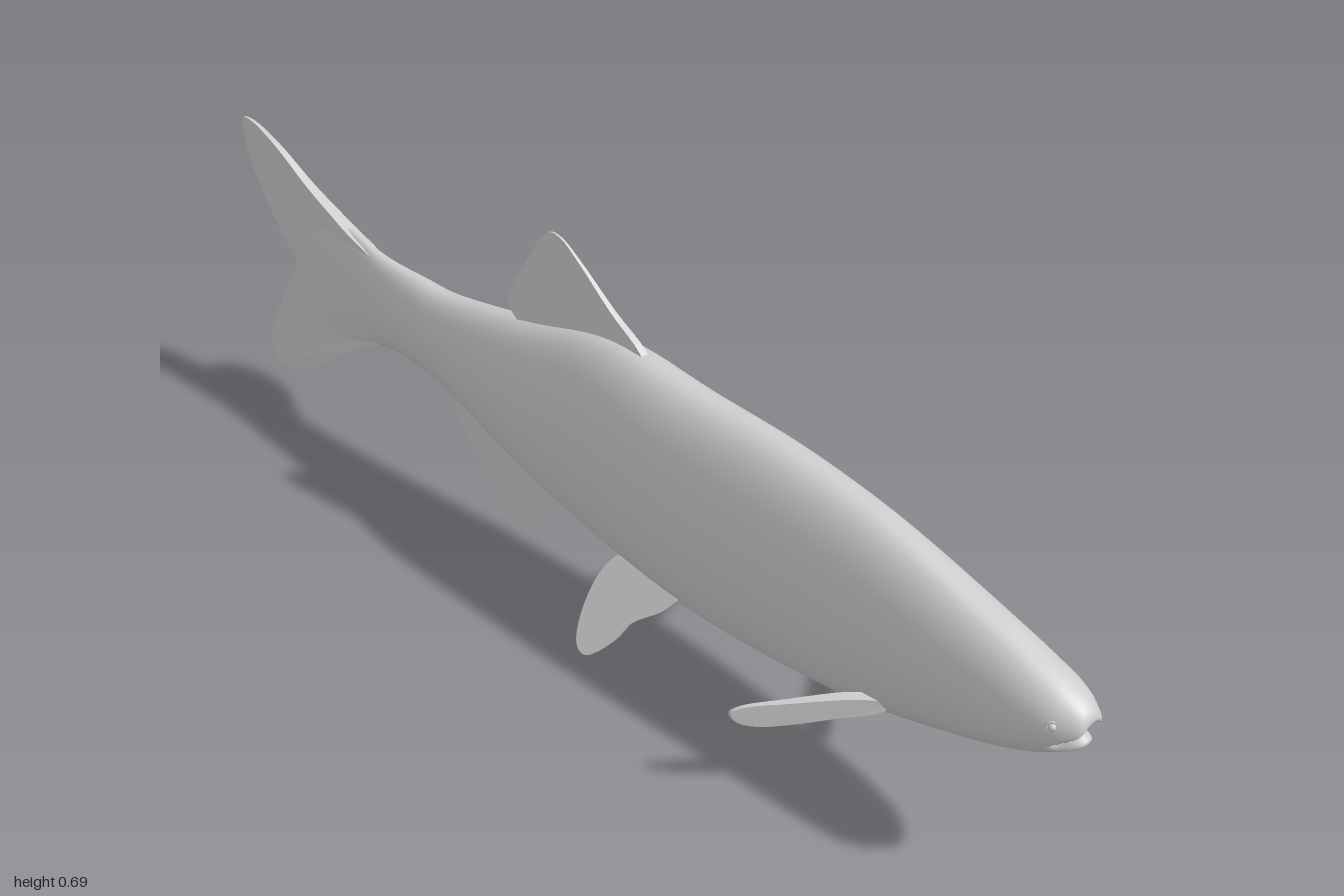
import * as THREE from 'three';

const material = new THREE.MeshStandardMaterial({ color: 0xcccccc, side: THREE.DoubleSide });

// Body stations from nose to tail root: z, bottom y, top y, half width, sideways shift
const STATIONS = [
  [1, 0.347, 0.349, 0.001, -0.012],
  [0.998, 0.33, 0.37, 0.022, -0.012],
  [0.985, 0.312, 0.388, 0.034, -0.012],
  [0.95, 0.288, 0.407, 0.051, -0.011],
  [0.9, 0.258, 0.425, 0.06, -0.01],
  [0.8, 0.213, 0.455, 0.067, -0.007],
  [0.6, 0.15, 0.508, 0.076, -0.004],
  [0.4, 0.12, 0.535, 0.083, -0.002],
  [0.2, 0.113, 0.543, 0.084, -0.002],
  [0, 0.138, 0.553, 0.077, -0.002],
  [-0.2, 0.182, 0.497, 0.062, -0.002],
  [-0.4, 0.245, 0.452, 0.045, -0.001],
  [-0.5, 0.26, 0.446, 0.038, 0],
  [-0.6, 0.252, 0.447, 0.029, 0],
  [-0.7, 0.208, 0.466, 0.019, 0],
  [-0.78, 0.2, 0.46, 0.012, 0],
  [-0.86, 0.3, 0.35, 0.003, 0],
];

function mesh(name, geometry) {
  const m = new THREE.Mesh(geometry, material);
  m.name = name;
  return m;
}

// Smooth loft of oval rings, with an arched mouth groove pressed into the nose
function bodyGeometry() {
  const curve = (f) => new THREE.CatmullRomCurve3(STATIONS.map(f), false, 'catmullrom');
  const profile = curve((s) => new THREE.Vector3(s[0], s[1], s[2]));
  const widths = curve((s) => new THREE.Vector3(s[0], s[3], s[4]));
  const rings = (STATIONS.length - 1) * 6, sides = 48;
  const positions = [], index = [];
  for (let i = 0; i <= rings; i++) {
    const p = profile.getPoint(i / rings), w = widths.getPoint(i / rings);
    for (let j = 0; j < sides; j++) {
      const a = (j / sides) * Math.PI * 2, c = Math.cos(a);
      const x = Math.sign(c) * Math.pow(Math.abs(c), 0.92) * w.y;
      const y = (p.y + p.z) / 2 + (Math.sin(a) * (p.z - p.y)) / 2;
      const d = (y - (0.347 - 22 * x * x)) / 0.011;
      const groove = 0.045 * Math.exp(-d * d) * THREE.MathUtils.smoothstep(p.x, 0.95, 0.99);
      positions.push(x + w.z, y, p.x - groove);
      if (i < rings) {
        const k = (j + 1) % sides, r = i * sides;
        index.push(r + j, r + sides + j, r + k, r + k, r + sides + j, r + sides + k);
      }
    }
  }
  const g = new THREE.BufferGeometry();
  g.setAttribute('position', new THREE.Float32BufferAttribute(positions, 3));
  g.setIndex(index);
  g.computeVertexNormals();
  return g;
}

// Thin slab from a rounded outline; place(u, v, s) puts each point in space, s = -1 or 1 by face
function finGeometry(outline, place) {
  const curve = new THREE.CatmullRomCurve3(
    outline.map(([u, v]) => new THREE.Vector3(u, v, 0)), true, 'centripetal');
  const shape = new THREE.Shape(curve.getPoints(outline.length * 4).slice(0, -1).map((p) => new THREE.Vector2(p.x, p.y)));
  const g = new THREE.ExtrudeGeometry(shape, { depth: 1, bevelEnabled: false });
  const pos = g.attributes.position;
  for (let i = 0; i < pos.count; i++) {
    pos.setXYZ(i, ...place(pos.getX(i), pos.getY(i), pos.getZ(i) * 2 - 1));
  }
  g.computeVertexNormals();
  return g;
}

export function createModel() {
  const fish = new THREE.Group();
  fish.name = 'fish';
  fish.add(mesh('body', bodyGeometry()));

  // Upright fins on the centre line, outlines as z, y
  const taper = (v, from, to, thick, thin) =>
    THREE.MathUtils.lerp(thick, thin, THREE.MathUtils.clamp((v - from) / (to - from), 0, 1));

  fish.add(mesh('tailFin', finGeometry([
    [-0.6, 0.42], [-0.7, 0.466], [-0.8, 0.508], [-0.9, 0.56], [-0.97, 0.582], [-0.998, 0.577],
    [-0.996, 0.53], [-0.96, 0.45], [-0.9, 0.37], [-0.86, 0.325], [-0.9, 0.25], [-0.955, 0.15],
    [-0.972, 0.1], [-0.96, 0.062], [-0.92, 0.056], [-0.85, 0.085], [-0.76, 0.152], [-0.68, 0.215], [-0.6, 0.27],
  ], (z, y, s) => [s * taper(z, -0.68, -1, 0.013, 0.002), y, z])));

  fish.add(mesh('dorsalFin', finGeometry([
    [0.09, 0.52], [0.07, 0.557], [0, 0.603], [-0.08, 0.665], [-0.12, 0.69], [-0.145, 0.692],
    [-0.17, 0.67], [-0.21, 0.6], [-0.248, 0.53], [-0.248, 0.508], [-0.225, 0.487], [-0.22, 0.46], [-0.05, 0.48],
  ], (z, y, s) => [s * taper(y, 0.5, 0.69, 0.009, 0.002) - 0.003, y, z])));

  fish.add(mesh('analFin', finGeometry([
    [-0.08, 0.19], [-0.1, 0.152], [-0.18, 0.085], [-0.24, 0.03], [-0.265, 0.028], [-0.295, 0.065],
    [-0.35, 0.15], [-0.408, 0.222], [-0.408, 0.25], [-0.35, 0.26], [-0.2, 0.23],
  ], (z, y, s) => [s * taper(y, 0.2, 0.03, 0.009, 0.002), y, z])));

  for (const [side, k] of [['left', 1], ['right', -1]]) {
    // Pelvic fins splay outward as they go down, outline as z, y
    fish.add(mesh(side + 'PelvicFin', finGeometry([
      [0.2, 0.15], [0.19, 0.127], [0.135, 0.08], [0.115, 0.04], [0.075, 0.003], [0.05, 0.009],
      [0.033, 0.05], [0.035, 0.12], [0.06, 0.16], [0.13, 0.165],
    ], (z, y, s) => [
      k * (0.143 - y * 0.68 + s * taper(y, 0.15, 0, 0.011, 0.002)), y, z])));

    // Pectoral fins sweep out and back, outline as x, y
    fish.add(mesh(side + 'PectoralFin', finGeometry([
      [0.05, 0.208], [0.08, 0.213], [0.1, 0.211], [0.15, 0.201], [0.2, 0.19], [0.214, 0.178],
      [0.209, 0.16], [0.188, 0.151], [0.15, 0.157], [0.1, 0.173], [0.05, 0.19],
    ], (x, y, s) => [
      k * x, y, 0.62 - (x - 0.07) * 0.98 + s * taper(x, 0.06, 0.21, 0.014, 0.003)])));

    // Small ringed eyes beside the mouth
    const eye = new THREE.Group();
    eye.name = side + 'Eye';
    eye.add(mesh('eyeball', new THREE.SphereGeometry(0.007, 16, 12)));
    eye.add(mesh('eyelid', new THREE.TorusGeometry(0.009, 0.0022, 8, 24)));
    eye.position.set(-0.011 + k * 0.044, 0.361, 0.958);
    eye.rotation.y = k * 1.0;
    fish.add(eye);
  }
  return fish;
}
